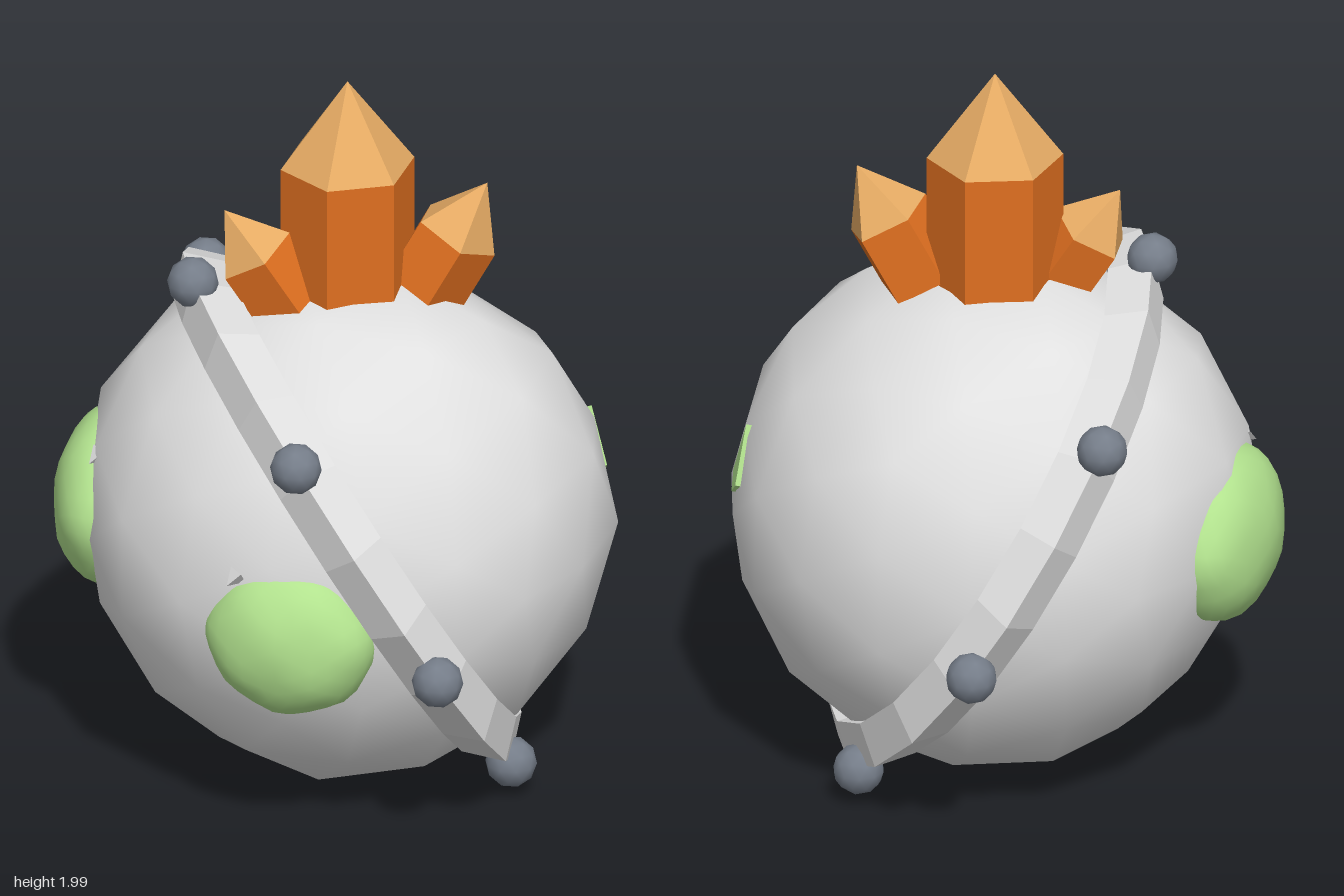
import * as THREE from 'three';
import { mergeVertices } from 'three/addons/utils/BufferGeometryUtils.js';

const V = (x, y, z) => new THREE.Vector3(x, y, z);
const mat = (name, color, flatShading = false) => {
  const m = new THREE.MeshStandardMaterial({ color, flatShading });
  m.name = name;
  return m;
};

// Smooth sphere whose radius follows a rule of direction
function blob(detail, radiusAt) {
  let g = new THREE.IcosahedronGeometry(1, detail);
  g.deleteAttribute('uv');
  g.deleteAttribute('normal');
  g = mergeVertices(g, 1e-4);
  const p = g.attributes.position, v = V(0, 0, 0);
  for (let i = 0; i < p.count; i++) {
    v.fromBufferAttribute(p, i).normalize();
    v.multiplyScalar(radiusAt(v));
    p.setXYZ(i, v.x, v.y, v.z);
  }
  g.computeVertexNormals();
  return g;
}

export function createModel() {
  const model = new THREE.Group();
  model.name = 'crystalBall';
  const stone = mat('stone grey', 0xe0e0e0);
  const band = mat('band grey', 0xe0e0e0, true);
  const steel = mat('stud slate', 0x767e8a);
  const amber = mat('crystal orange', 0xdf6f20, true);
  const tipMat = mat('crystal tip tan', 0xe6ab64, true);
  const moss = mat('moss green', 0xb2e28e);

  const add = (name, geometry, material, parent = model) => {
    const m = new THREE.Mesh(geometry, material);
    m.name = name;
    parent.add(m);
    return m;
  };

  // Uneven boulder: gentle bumps and dents on a sphere
  const centre = V(0.035, 0.72, 0.01);
  const bumps = [
    [0.84, 0.54, 0, 0.035], [0.28, 0.96, 0, 0.025], [-0.86, 0.5, 0, 0.035],
    [-0.66, -0.75, 0, -0.02], [-0.9, -0.43, 0, -0.02], [0, 0, -1, 0.01],
    [0.98, 0, -0.2, 0.02], [0.77, 0, 0.64, 0.015], [0, -0.45, 0.89, -0.025],
    [0, 0.52, -0.85, 0.02], [-0.44, 0, 0.9, 0.015], [0, -0.94, 0.33, 0.015],
    [0.33, 0.83, -0.45, -0.055], [0.85, 0.2, -0.49, -0.02], [0, -1, 0, 0.01],
  ].map(([x, y, z, amp]) => ({ dir: V(x, y, z).normalize(), amp }));
  const ball = add('boulder', blob(2, (d) => bumps.reduce(
    (r, b) => r + b.amp * Math.exp(-18 * (1 - d.dot(b.dir))), 0.715)), stone);
  ball.position.copy(centre);

  // Tilted band around the boulder, in its own frame (local y is its axis)
  const ring = new THREE.Group();
  ring.name = 'bandAssembly';
  const up = V(-0.453, 0.857, 0.245).normalize();
  const side = V(0.47, 0, 0.88).normalize();
  const axis = up.clone().cross(side).normalize();
  side.crossVectors(axis, up);
  ring.matrix.makeBasis(side, axis, up).setPosition(0.035, 0.738, 0.012);
  ring.matrix.decompose(ring.position, ring.quaternion, ring.scale);
  model.add(ring);
  // The band has a diamond section with its ridge outermost
  const bandGeometry = new THREE.TorusGeometry(0.733, 0.087, 4, 20);
  add('band', bandGeometry.rotateX(Math.PI / 2), band, ring);

  // Seven studs evenly spaced, the first at the top
  for (let i = 0; i < 7; i++) {
    const t = (i / 7) * Math.PI * 2;
    const stud = add('stud', blob(1, () => 0.07), steel, ring);
    stud.position.set(Math.sin(t) * 0.82, 0, Math.cos(t) * 0.82);
  }

  // Crystals: a prism with a pointed tip, placed by its shoulder and direction
  function crystal(name, sides, radius, length, tipLength, shoulder, dir, turn = 0) {
    const g = new THREE.Group();
    g.name = name;
    const prism = new THREE.CylinderGeometry(radius, radius, length, sides);
    add('crystalShaft', prism.translate(0, -length / 2, 0), amber, g);
    const tip = new THREE.ConeGeometry(radius, tipLength, sides, 1, true);
    add('crystalTip', tip.translate(0, tipLength / 2, 0), tipMat, g);
    g.children.forEach((c) => { c.rotation.y = turn; });
    g.position.copy(shoulder);
    g.quaternion.setFromUnitVectors(V(0, 1, 0), dir.normalize());
    model.add(g);
  }
  crystal('mainCrystal', 6, 0.184, 0.4, 0.245, V(0.035, 1.755, 0.01), V(0, 1, 0));
  crystal('leftCrystal', 5, 0.12, 0.205, 0.17, V(0.315, 1.55, -0.075), V(0.08, 0.15, -0.025), 0.4);
  crystal('rightCrystal', 5, 0.112, 0.19, 0.15, V(-0.185, 1.52, 0.145), V(-0.075, 0.125, 0.025), 0.6);

  // Moss patches: flattened lumps half sunk into the boulder
  function patch(name, position, size, facing) {
    const g = blob(4, (d) => 1 + 0.025 * Math.sin(7 * d.x + 2) * Math.sin(6 * d.y + position.x * 9));
    const m = add(name, g, moss);
    m.scale.copy(size);
    m.position.copy(position);
    m.quaternion.setFromUnitVectors(V(0, 0, 1), facing.normalize());
  }
  patch('frontMoss', V(0.075, 0.64, 0.645), V(0.235, 0.215, 0.152), V(0, 0, 1));
  patch('sideMoss', V(-0.595, 0.725, 0.11), V(0.28, 0.24, 0.155), V(-0.98, 0, 0.15));

  // Small sliver of moss, wide below and pointed above
  const sliver = new THREE.Shape([[0, 0.11], [-0.052, -0.05], [0.005, -0.09], [0.052, -0.05]]
    .map(([x, y]) => new THREE.Vector2(x, y)));
  const sliverMesh = add('mossSliver',
    new THREE.ExtrudeGeometry(sliver, { depth: 0.06, bevelEnabled: false }), moss);
  const out = V(0.86, 0.2, -0.47).normalize();
  sliverMesh.position.copy(centre).addScaledVector(out, 0.645);
  sliverMesh.lookAt(sliverMesh.position.clone().add(out));

  // Tiny stone chips above the moss
  for (const [x, y, z] of [[-0.06, 0.83, 0.71], [-0.575, 0.93, 0.3]]) {
    add('stoneChip', new THREE.TetrahedronGeometry(0.035), band).position.set(x, y, z);
  }
  return model;
}
